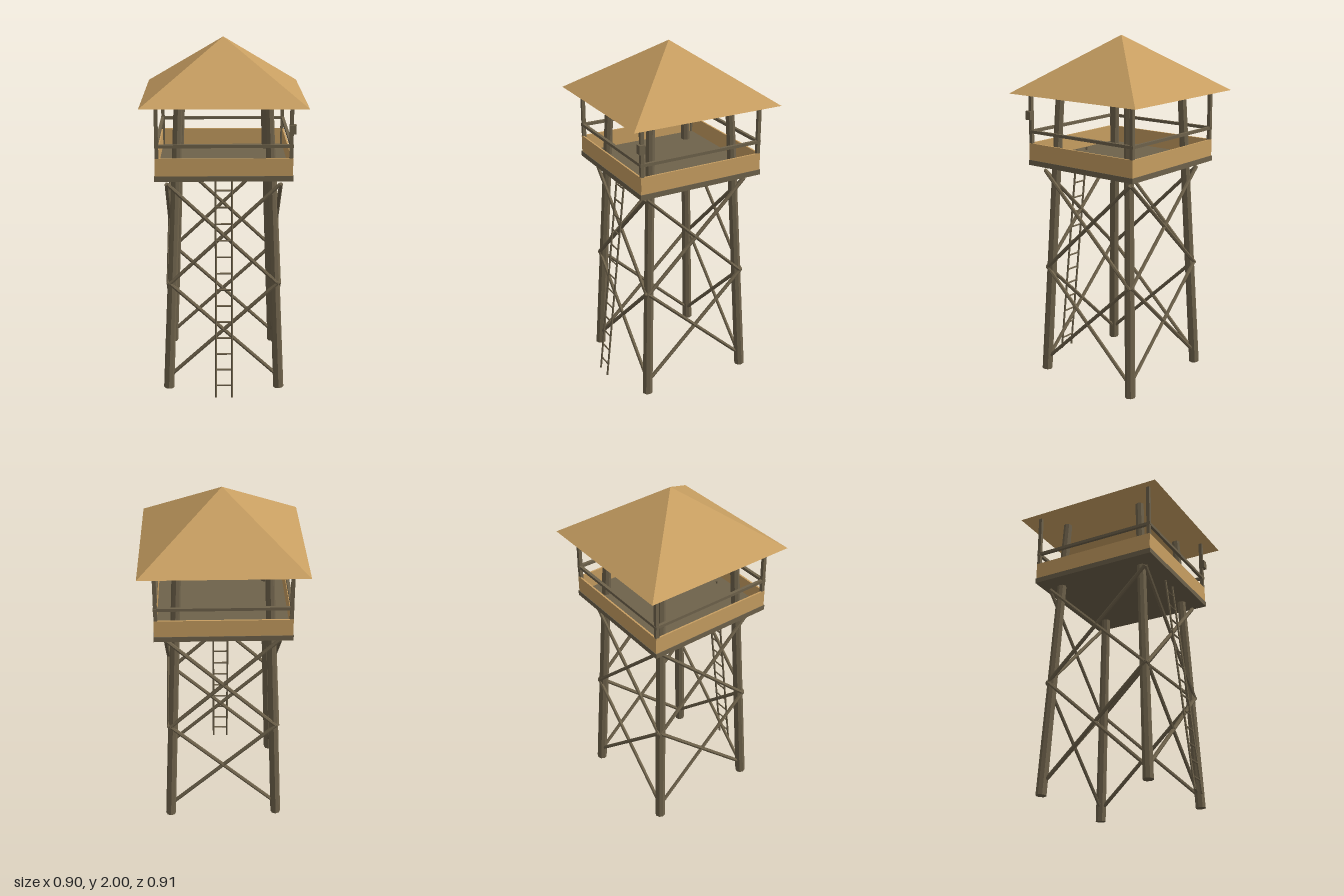
import * as THREE from 'three';

const timber = new THREE.MeshStandardMaterial({ color: 0x6e624b, flatShading: true });
timber.name = 'weathered timber';
const plank = new THREE.MeshStandardMaterial({ color: 0xc79e61, flatShading: true, side: THREE.DoubleSide });
plank.name = 'tan planks';

const V = (x, y, z) => new THREE.Vector3(x, y, z);

export function createModel() {
  const tower = new THREE.Group();
  tower.name = 'watchtower';
  tower.position.z = -0.004;

  const add = (name, geometry, material, x = 0, y = 0, z = 0, parent = tower) => {
    const mesh = new THREE.Mesh(geometry, material);
    mesh.name = name;
    mesh.position.set(x, y, z);
    parent.add(mesh);
    return mesh;
  };
  // Round pole between two points
  const pole = (name, a, b, r0, r1, sides, parent = tower) => {
    const d = b.clone().sub(a);
    const mesh = add(name, new THREE.CylinderGeometry(r1, r0, d.length(), sides), timber, 0, 0, 0, parent);
    mesh.position.copy(a).add(b).multiplyScalar(0.5);
    mesh.quaternion.setFromUnitVectors(V(0, 1, 0), d.normalize());
    return mesh;
  };

  // Pyramid roof, open underneath
  const roof = new THREE.ConeGeometry(0.449 * Math.SQRT2, 0.32, 4, 1, true).rotateY(Math.PI / 4);
  add('roof', roof, plank, 0, 1.84, 0);

  // Platform
  add('floor', new THREE.BoxGeometry(0.754, 0.03, 0.754), timber, 0, 1.283, 0);

  // Leaning legs and upright roof posts at the four corners
  for (const sx of [-1, 1]) {
    for (const sz of [-1, 1]) {
      pole('leg', V(sx * 0.32, 0.002, sz * 0.32), V(sx * 0.245, 1.69, sz * 0.245), 0.03, 0.025, 8);
      add('roofPost', new THREE.BoxGeometry(0.02, 0.42, 0.02), timber, sx * 0.363, 1.495, sz * 0.363);
    }
  }

  // Each side: parapet panel, handrail and two tiers of crossed braces
  for (let i = 0; i < 4; i++) {
    const side = new THREE.Group();
    side.name = 'side';
    side.rotation.y = i * Math.PI / 2;
    tower.add(side);
    add('parapet', new THREE.BoxGeometry(0.746, 0.097, 0.01), plank, 0, 1.3465, 0.369, side);
    add('handrail', new THREE.BoxGeometry(0.75, 0.017, 0.017), timber, 0, 1.462, 0.365, side);
    for (const [y0, y1] of [[0.075, 0.655], [0.645, 1.235]]) {
      for (const s of [-1, 1]) {
        pole('brace', V(-s * 0.31, y0, 0.314), V(s * 0.31, y1, 0.314), 0.011, 0.011, 6, side);
      }
    }
  }

  // Ladder leaning on the front, its tips just above the floor
  const ladder = new THREE.Group();
  ladder.name = 'ladder';
  tower.add(ladder);
  const foot = V(0, 0.002, 0.45), tip = V(0, 1.315, 0.302);
  for (const s of [-1, 1]) {
    const x = V(s * 0.045, 0, 0);
    pole('ladderRail', foot.clone().add(x), tip.clone().add(x), 0.0065, 0.0065, 6, ladder);
  }
  for (let i = 0; i < 13; i++) {
    const y = 0.074 + i * 0.0938;
    const c = foot.clone().lerp(tip, y / 1.315);
    pole('rung', V(-0.045, y, c.z), V(0.045, y, c.z), 0.005, 0.005, 6, ladder);
  }

  // Small box fixed to the front left post
  add('lanternBox', new THREE.BoxGeometry(0.035, 0.05, 0.035), timber, 0.369, 1.555, 0.369);

  const model = new THREE.Group();
  model.name = 'model';
  model.add(tower);
  return model;
}
